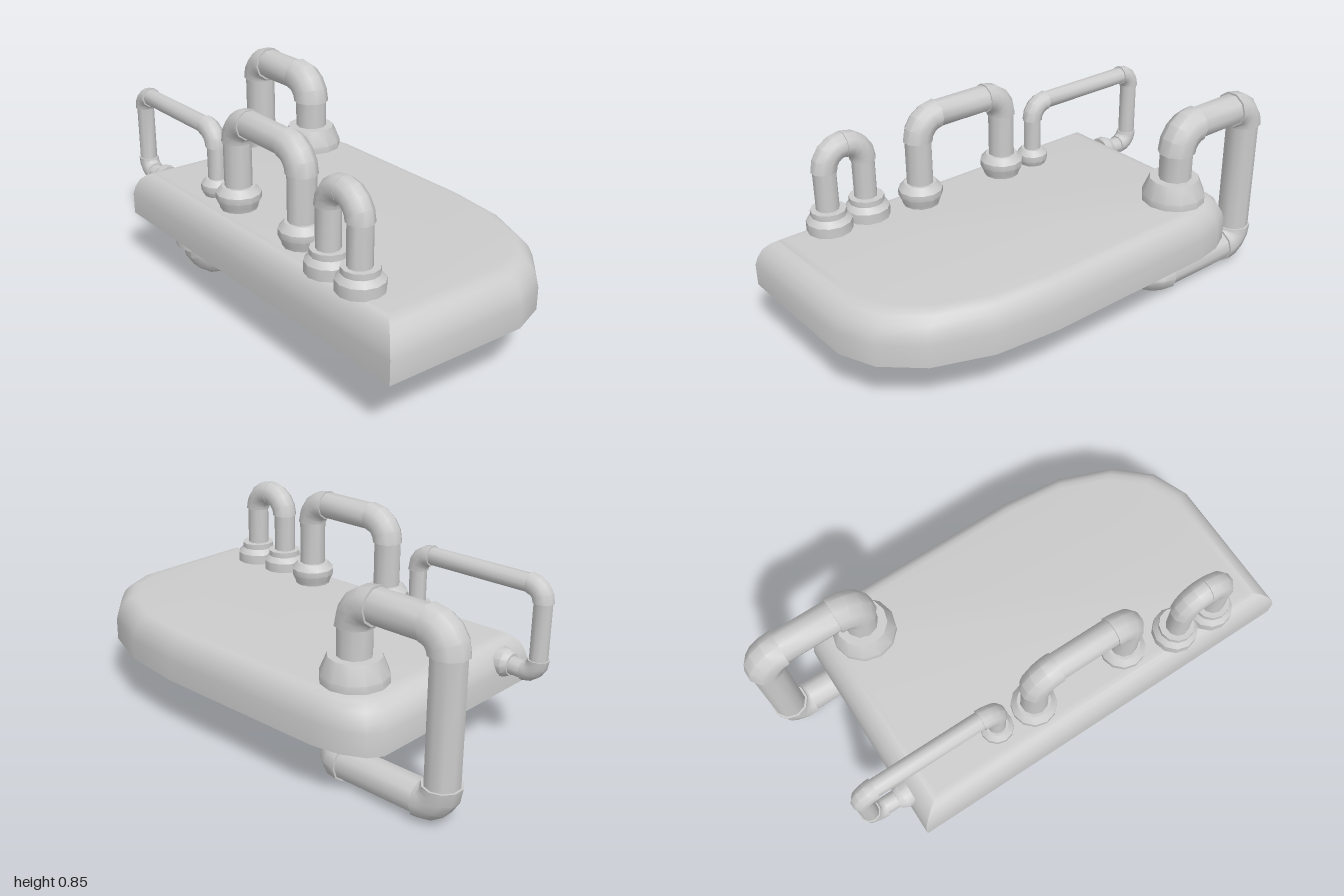
import * as THREE from 'three';
import { toCreasedNormals } from 'three/addons/utils/BufferGeometryUtils.js';

const material = new THREE.MeshStandardMaterial({ color: 0xcccccc });
const V = (x, y, z) => new THREE.Vector3(x, y, z);

// Joins equal-sized rings of points into a skin, with fan caps at both ends
function loft(rings) {
  const n = rings[0].length, index = [];
  for (let i = 0; i < rings.length - 1; i++) {
    for (let j = 0; j < n; j++) {
      const a = i * n + j, b = i * n + (j + 1) % n;
      index.push(a, b, b + n, a, b + n, a + n);
    }
  }
  const last = (rings.length - 1) * n;
  for (let j = 1; j < n - 1; j++) index.push(0, j + 1, j, last, last + j, last + j + 1);
  const g = new THREE.BufferGeometry().setFromPoints(rings.flat());
  g.setIndex(index);
  return toCreasedNormals(g, 0.7);
}

function add(group, name, geometry) {
  const mesh = new THREE.Mesh(geometry, material);
  mesh.name = name;
  group.add(mesh);
  return mesh;
}

// Pipe along straight runs with slightly thicker elbows at every corner
function pipeGeometry(points, bends, r, elbowR, sides = 10) {
  const stations = [];
  const put = (p, t, radius) => stations.push({ p, t, radius });
  const dir = (i) => points[i + 1].clone().sub(points[i]).normalize();
  put(points[0], dir(0), r);
  for (let i = 1; i < points.length - 1; i++) {
    const d1 = dir(i - 1), d2 = dir(i), b = bends[i - 1];
    const c = points[i].clone().addScaledVector(d1, -b).addScaledVector(d2, b);
    const steps = 4;
    for (let k = 0; k <= steps; k++) {
      const a = (k / steps) * Math.PI / 2, s = Math.sin(a), co = Math.cos(a);
      const p = c.clone().addScaledVector(d2, -b * co).addScaledVector(d1, b * s);
      const t = d1.clone().multiplyScalar(co).addScaledVector(d2, s);
      if (k === 0) put(p, t, r);
      put(p, t, elbowR);
      if (k === steps) put(p, t, r);
    }
  }
  put(points.at(-1), dir(points.length - 2), r);

  // Carry the ring's axis along the path without twisting
  const normal = Math.abs(stations[0].t.x) < 0.9 ? V(1, 0, 0) : V(0, 1, 0);
  const turn = new THREE.Quaternion();
  let previous = stations[0].t;
  return loft(stations.map(({ p, t, radius }) => {
    normal.applyQuaternion(turn.setFromUnitVectors(previous, t));
    previous = t;
    const side = t.clone().cross(normal);
    return Array.from({ length: sides }, (_, j) => {
      const a = (j / sides) * Math.PI * 2;
      return p.clone().addScaledVector(normal, radius * Math.cos(a)).addScaledVector(side, radius * Math.sin(a));
    });
  }));
}

// Turned collar; profile is [radius, height] from the slab outwards
function collar(group, name, profile, x, y, z, tilt = 0) {
  const top = profile.at(-1)[1];
  const pts = [[0, 0], ...profile, [0, top]].map(([r, h]) => new THREE.Vector2(r, h));
  const mesh = add(group, name, toCreasedNormals(new THREE.LatheGeometry(pts, 12), 0.6));
  mesh.position.set(x, y, z);
  mesh.rotation.x = tilt;
}

function slabGeometry() {
  // Outline in x, z: straight left side, small back curve, large front curve
  const outline = [
    [-0.505, 1], [0.1, 1], [0.25, 0.94], [0.38, 0.8], [0.47, 0.57], [0.5, 0.3],
    [0.5, -0.48], [0.48, -0.6], [0.435, -0.69], [0.38, -0.725], [-0.505, -0.725],
  ];
  // Layers: height, inset in x, inset in z
  const layers = [
    [0.23, 0, 0], [0.32, 0, 0], [0.355, 0.007, 0.01], [0.39, 0.02, 0.028],
    [0.415, 0.04, 0.055], [0.427, 0.058, 0.08], [0.43, 0.08, 0.11],
  ];
  const cz = 0.1375;
  return loft(layers.map(([y, ix, iz]) => outline.map(([x, z]) =>
    V(x * (1 - ix / 0.5), y, cz + (z - cz) * (1 - iz / 0.8625)))));
}

export function createModel() {
  const model = new THREE.Group();
  model.name = 'pipedSlab';
  add(model, 'slab', slabGeometry());

  // Large pipe: out of the top, round the back and up into the underside
  const large = new THREE.Group();
  large.name = 'largePipe';
  model.add(large);
  add(large, 'largePipeRun', pipeGeometry([
    V(0.303, 0.4, -0.51), V(0.303, 0.738, -0.51), V(0.303, 0.738, -0.92), V(0.303, 0.08, -0.92),
    V(0.303, 0.08, -0.41), V(-0.365, 0.08, -0.41), V(-0.365, 0.25, -0.41),
  ], [0.095, 0.085, 0.085, 0.07, 0.1], 0.068, 0.077));
  collar(large, 'largeTopCollar', [[0.132, 0], [0.132, 0.03], [0.103, 0.1]], 0.3, 0.428, -0.51);
  collar(large, 'largeBottomCollar', [[0.128, 0], [0.1, 0.032], [0.1, 0.066]], -0.367, 0.232, -0.41, Math.PI);

  // Short front arch
  const front = new THREE.Group();
  front.name = 'frontArch';
  model.add(front);
  add(front, 'frontArchPipe', pipeGeometry(
    [V(-0.402, 0.4, 0.715), V(-0.402, 0.768, 0.715), V(-0.402, 0.768, 0.54), V(-0.402, 0.4, 0.54)],
    [0.0865, 0.0865], 0.047, 0.053));
  for (const z of [0.715, 0.54]) {
    collar(front, 'frontArchCollar',
      [[0.092, 0], [0.092, 0.045], [0.072, 0.068], [0.072, 0.092]], -0.398, 0.427, z);
  }

  // Wide middle arch
  const middle = new THREE.Group();
  middle.name = 'middleArch';
  model.add(middle);
  add(middle, 'middleArchPipe', pipeGeometry(
    [V(-0.348, 0.4, 0.312), V(-0.348, 0.8, 0.312), V(-0.348, 0.8, -0.115), V(-0.348, 0.4, -0.115)],
    [0.09, 0.09], 0.056, 0.062));
  for (const z of [0.312, -0.115]) {
    collar(middle, 'middleArchCollar',
      [[0.075, 0], [0.078, 0.015], [0.092, 0.045], [0.092, 0.07], [0.068, 0.098]], -0.348, 0.427, z);
  }

  // Thin pipe from the top to the back face
  const thin = new THREE.Group();
  thin.name = 'thinPipe';
  model.add(thin);
  add(thin, 'thinPipeRun', pipeGeometry([
    V(-0.342, 0.4, -0.285), V(-0.342, 0.704, -0.285), V(-0.342, 0.704, -0.872),
    V(-0.342, 0.352, -0.872), V(-0.342, 0.352, -0.68),
  ], [0.07, 0.06, 0.06], 0.037, 0.043));
  const thinProfile = [[0.055, 0], [0.067, 0.025], [0.067, 0.05], [0.047, 0.073]];
  collar(thin, 'thinTopCollar', thinProfile, -0.342, 0.427, -0.285);
  collar(thin, 'thinBackCollar', [[0.058, 0], [0.058, 0.035], [0.044, 0.058]], -0.342, 0.355, -0.7, -Math.PI / 2);

  return model;
}
